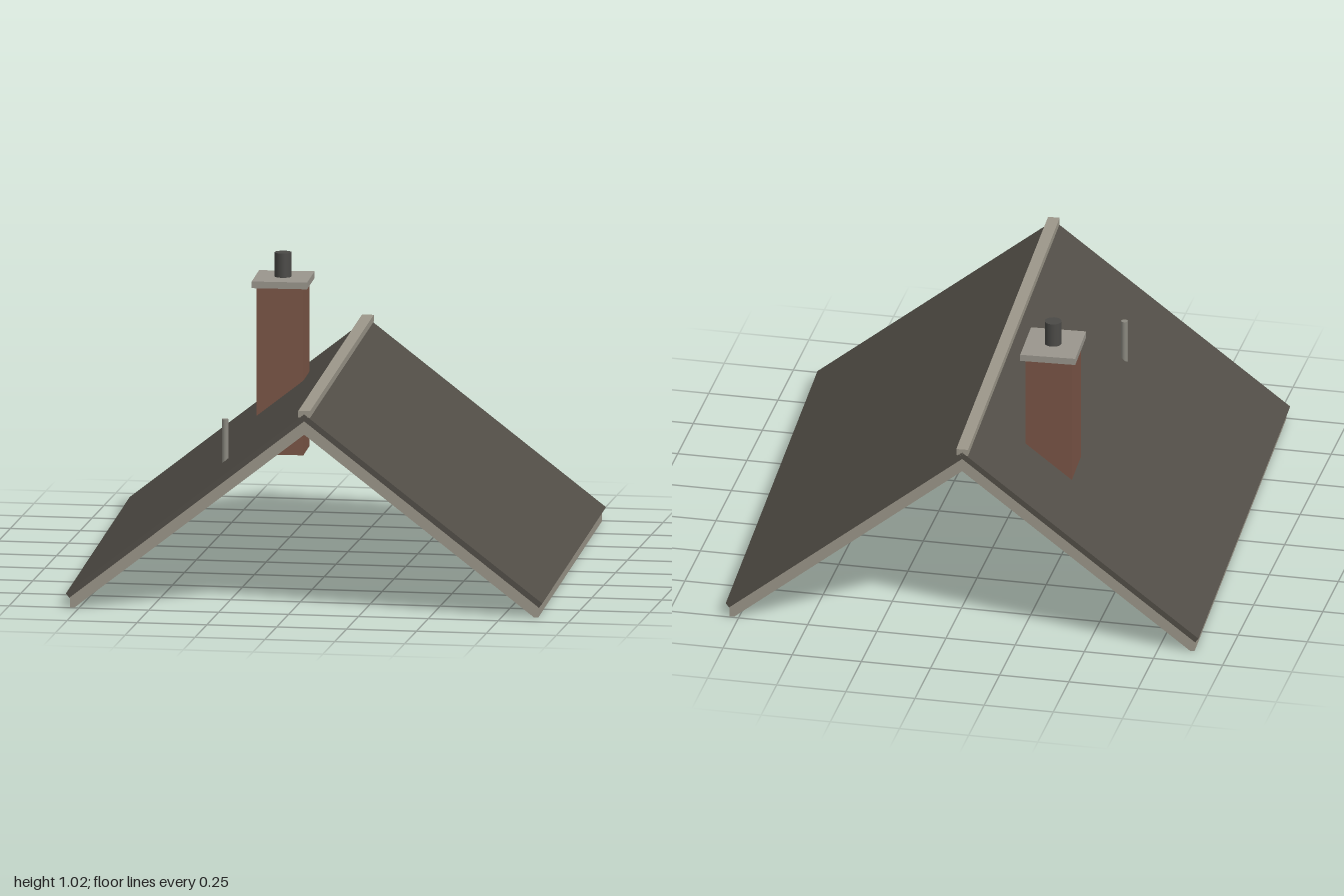
import * as THREE from 'three';

const mat = (name, color) => {
  const m = new THREE.MeshStandardMaterial({ color });
  m.name = name;
  return m;
};

export function createModel() {
  const shingle = mat('shingle', 0x524e47);
  const trim = mat('trim', 0x9c978a);
  const brick = mat('brick', 0x7a5546);
  const stone = mat('stone', 0x9a968d);
  const metal = mat('metal', 0x4b4a47);
  const pipe = mat('pipe', 0x8b8980);

  const model = new THREE.Group();
  model.name = 'gableRoof';
  const house = new THREE.Group();
  house.name = 'roofAssembly';
  house.rotation.y = 0.05; // the whole roof is turned slightly
  model.add(house);

  const add = (name, geo, material, x = 0, y = 0, z = 0) => {
    const mesh = new THREE.Mesh(geo, material);
    mesh.name = name;
    mesh.position.set(x, y, z);
    house.add(mesh);
    return mesh;
  };
  const box = (name, m, w, y0, y1, d, x = 0, z = 0) =>
    add(name, new THREE.BoxGeometry(w, y1 - y0, d), m, x, (y0 + y1) / 2, z);
  const rod = (name, m, r, y0, y1, x, z, sides) =>
    add(name, new THREE.CylinderGeometry(r, r, y1 - y0, sides), m, x, (y0 + y1) / 2, z);

  // Symmetric chevron, from right-hand points, extruded along z
  const chevron = (points, depth) => {
    const left = points.filter(([x]) => x > 0).reverse().map(([x, y]) => [-x, y]);
    const outline = [points[0], ...points.slice(1, -1), points[points.length - 1], ...left];
    const shape = new THREE.Shape(outline.map(([x, y]) => new THREE.Vector2(x, y)));
    const geo = new THREE.ExtrudeGeometry(shape, { depth, bevelEnabled: false });
    return geo.translate(0, 0, -depth / 2);
  };

  const length = 1.907;
  // Roof covering
  add('roofSlopes', chevron([[0, 0.71], [0.846, 0.05], [0.834, 0.034], [0, 0.685]], length), shingle);

  // Barge boards under both gable ends
  const barge = chevron([[0, 0.685], [0.832, 0.036], [0.832, 0], [0.816, 0], [0, 0.637]], 0.02);
  for (const s of [1, -1])
    add(s > 0 ? 'frontBargeBoard' : 'backBargeBoard', barge, trim, 0, 0, s * (length / 2 - 0.01));

  // Eave boards
  for (const s of [1, -1])
    box(s > 0 ? 'leftFascia' : 'rightFascia', trim, 0.018, 0, 0.036, length - 0.002, s * 0.823);

  // Ridge cap
  box('ridgeCap', trim, 0.042, 0.698, 0.722, length);

  // Chimney with its slab and flue
  const cx = -0.246, cz = -0.49;
  box('chimneyStack', brick, 0.166, 0.315, 0.914, 0.188, cx, cz);
  box('chimneyCap', stone, 0.197, 0.914, 0.938, 0.226, cx, cz);
  rod('chimneyFlue', metal, 0.03, 0.938, 1.025, cx, cz, 16);

  // Vent pipe through the slope
  rod('ventPipe', pipe, 0.012, 0.395, 0.592, -0.342, 0.434, 10);

  return model;
}
